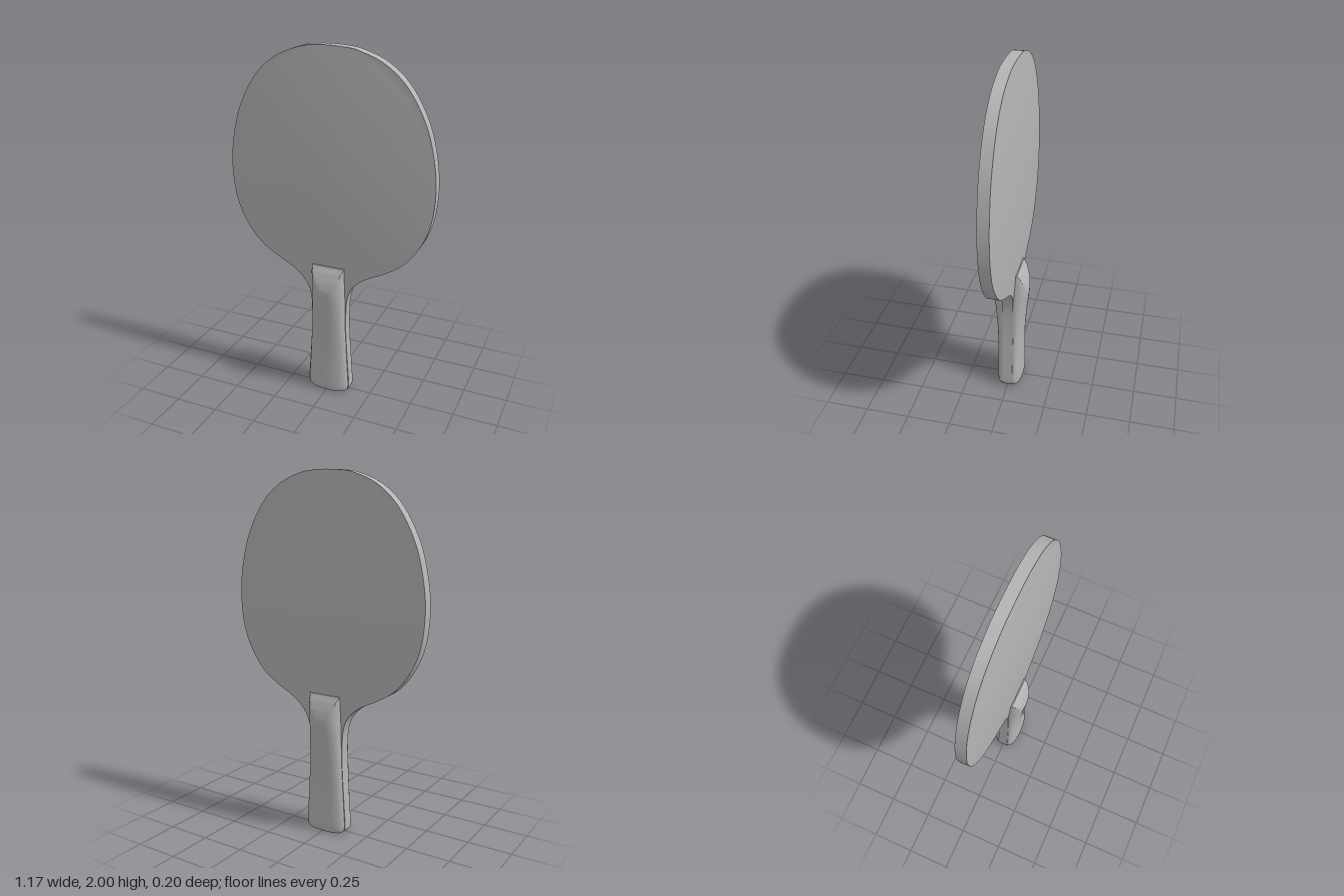
import * as THREE from 'three';
import { toCreasedNormals } from 'three/addons/utils/BufferGeometryUtils.js';

// Closed solid from rows [half width, y], bottom to top; depth(u, x, y) is the half thickness
function loft(rows, depth, n, crease) {
  const pos = [], idx = [], ring = 2 * n + 2;
  for (const [w, y] of rows) {
    for (const side of [1, -1]) {
      for (let i = 0; i <= n; i++) {
        const u = -side * Math.cos((Math.PI * i) / n);
        pos.push(u * w, y, side * depth(u, u * w, y));
      }
    }
  }
  const quad = (a, b, c, d) => idx.push(a, b, c, a, c, d);
  for (let j = 0; j < rows.length - 1; j++) {
    for (let i = 0; i < ring; i++) {
      const k = (i + 1) % ring, a = j * ring, b = a + ring;
      quad(a + i, a + k, b + k, b + i);
    }
  }
  // End caps
  const top = (rows.length - 1) * ring;
  for (let i = 0; i < n; i++) {
    const p = ring - 1 - i;
    quad(i, p, p - 1, i + 1);
    quad(top + i, top + i + 1, top + p - 1, top + p);
  }
  const geometry = new THREE.BufferGeometry();
  geometry.setAttribute('position', new THREE.Float32BufferAttribute(pos, 3));
  geometry.setIndex(idx);
  return toCreasedNormals(geometry, crease);
}

const spline = (points, count) =>
  new THREE.SplineCurve(points.map(([x, y]) => new THREE.Vector2(x, y)))
    .getPoints(count).map((p) => [p.x, p.y]);

// Piecewise linear lookup in [y, value] pairs
function lookup(table, y) {
  for (let i = 1; i < table.length; i++) {
    const [y0, a] = table[i - 1], [y1, b] = table[i];
    if (y <= y1) return a + ((b - a) * Math.max(0, y - y0)) / (y1 - y0);
  }
  return table[table.length - 1][1];
}

export function createModel() {
  const group = new THREE.Group();
  const grey = new THREE.MeshStandardMaterial({ color: 0xb4b4b4 });
  grey.name = 'light grey';
  const add = (name, geometry) => {
    const mesh = new THREE.Mesh(geometry, grey);
    mesh.name = name;
    group.add(mesh);
  };

  // Blade with gently domed faces, running down through the handle as a tang
  const outline = spline([
    [0.117, 0.008], [0.127, 0.04], [0.117, 0.2], [0.106, 0.38], [0.104, 0.5], [0.112, 0.61],
    [0.145, 0.69], [0.22, 0.757], [0.33, 0.815], [0.43, 0.885], [0.515, 1.0], [0.565, 1.13],
    [0.583, 1.3], [0.567, 1.47], [0.517, 1.65], [0.42, 1.82], [0.3, 1.927], [0.16, 1.984],
    [0.07, 1.997], [0, 2],
  ], 150);
  add('blade', loft(outline, (u, x, y) => {
    const dome = 1 - (x / 0.585) ** 2 - ((y - 1.3) / 0.7) ** 2;
    return 0.03 + 0.029 * Math.max(0, dome);
  }, 24, 0.5));

  // Flared grip with rounded cheeks on both faces and a sloped shoulder at its top
  const widths = [[0, 0.105], [0.012, 0.117], [0.04, 0.123], [0.2, 0.113], [0.4, 0.102],
    [0.55, 0.098], [0.8, 0.097]];
  const swell = spline([[0, 0.066], [0.03, 0.073], [0.2, 0.072], [0.35, 0.075], [0.5, 0.086],
    [0.6, 0.097], [0.66, 0.102], [0.8, 0.104]], 60);
  const slope = [[0, 1], [0.64, 0.106], [0.68, 0.099], [0.72, 0.088], [0.77, 0.067],
    [0.785, 0.056], [0.8, 0.05]];
  const levels = [0, 0.004, 0.012, 0.025, 0.04];
  for (let y = 0.08; y < 0.6; y += 0.04) levels.push(y);
  for (let y = 0.6; y < 0.801; y += 0.01) levels.push(y);
  add('grip', loft(levels.map((y) => [lookup(widths, y), y]), (u, x, y) => {
    const full = lookup(swell.map(([a, b]) => [a, b]), y);
    const round = 0.032 + (full - 0.032) * Math.sqrt(Math.max(0, 1 - Math.abs(u) ** 2.4));
    return Math.min(round, lookup(slope, y));
  }, 24, 0.55));

  return group;
}
